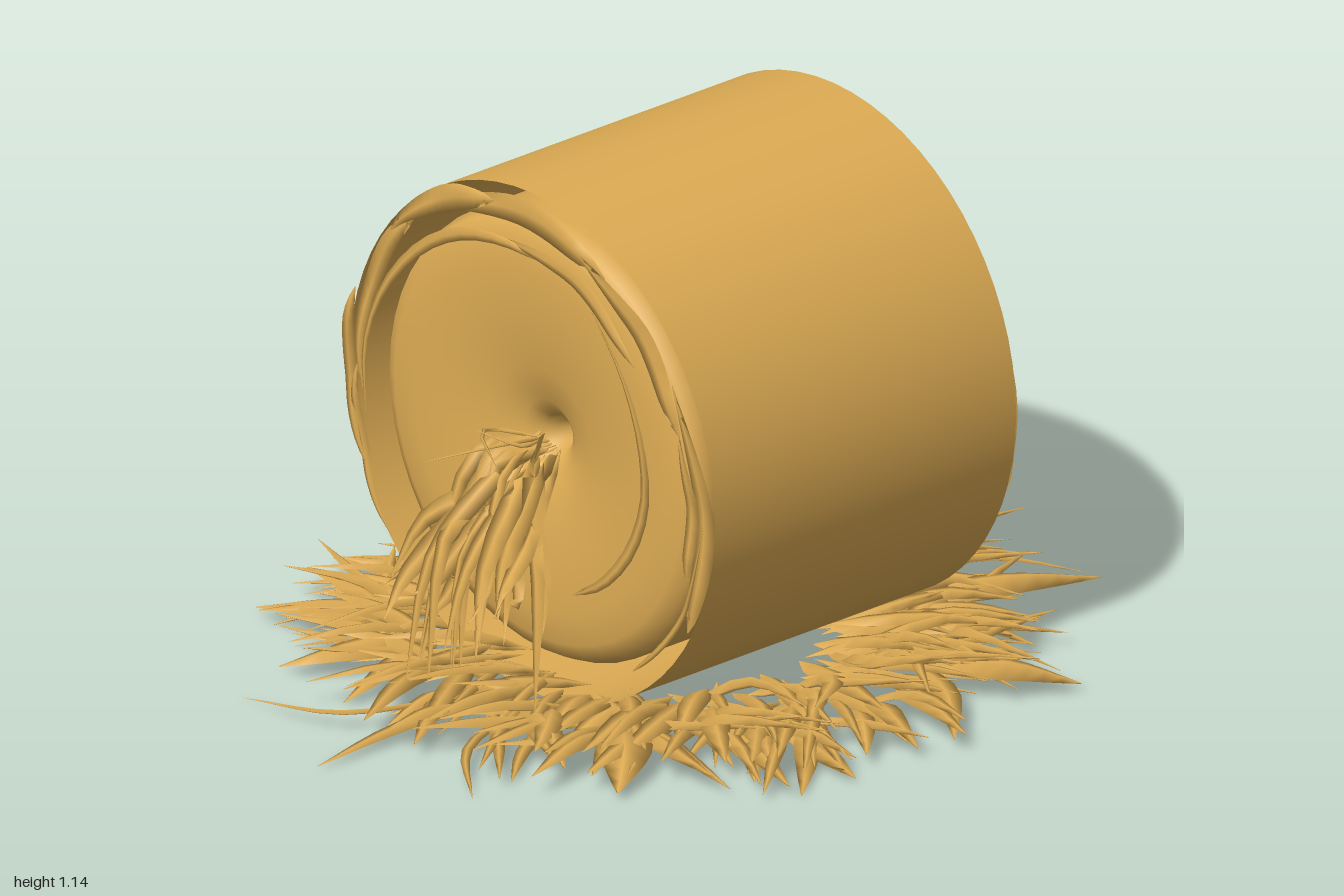
import * as THREE from 'three';
import { mergeGeometries } from 'three/addons/utils/BufferGeometryUtils.js';

const V = (x, y, z) => new THREE.Vector3(x, y, z);

// small seeded generator so every build is identical
let seed = 7;
const rnd = (a = 0, b = 1) => {
  seed = (seed * 16807) % 2147483647;
  return a + (b - a) * (seed / 2147483647);
};

// tapered straw: diamond cross-section swept along a curve, widest near its root
function blade(points, width, thick, ref, segs = 8) {
  const curve = new THREE.CatmullRomCurve3(points);
  const pos = [], idx = [];
  for (let i = 0; i <= segs; i++) {
    const t = i / segs;
    const p = curve.getPoint(t), tan = curve.getTangent(t);
    const side = V().crossVectors(ref, tan).normalize();
    const nrm = V().crossVectors(tan, side).normalize();
    const s = 0.5 * (0.04 + 0.96 * Math.sin(Math.PI * Math.pow(t, 0.7)));
    for (const [u, v] of [[1, 0], [0, 1], [-1, 0], [0, -1]]) {
      const q = p.clone().addScaledVector(side, u * width * s).addScaledVector(nrm, v * thick * s);
      pos.push(q.x, q.y, q.z);
    }
    if (i < segs) {
      for (let k = 0; k < 4; k++) {
        const a = i * 4 + k, b = i * 4 + (k + 1) % 4;
        idx.push(a, b, a + 4, b, b + 4, a + 4);
      }
    }
  }
  const g = new THREE.BufferGeometry();
  g.setAttribute('position', new THREE.Float32BufferAttribute(pos, 3));
  g.setIndex(idx);
  g.computeVertexNormals();
  return g;
}

export function createModel() {
  seed = 7;
  const group = new THREE.Group();
  const straw = new THREE.MeshStandardMaterial({ color: 0xdeac54, side: THREE.DoubleSide });
  straw.name = 'straw';
  const add = (geo, name) => {
    const m = new THREE.Mesh(geo, straw);
    m.name = name;
    group.add(m);
  };
  const cy = 0.583, zMid = -0.03, up = V(0, 1, 0), fwd = V(0, 0, 1);

  // open outer wrap
  const wrap = new THREE.CylinderGeometry(0.572, 0.572, 0.85, 64, 1, true);
  wrap.rotateX(Math.PI / 2).translate(0, cy, zMid);
  add(wrap, 'outerWrap');

  // inner roll: shallow domed ends that dip into a narrow centre hole
  const half = [[0.028, 0.3], [0.04, 0.345], [0.08, 0.375], [0.16, 0.397], [0.27, 0.412],
    [0.38, 0.416], [0.45, 0.408], [0.485, 0.39], [0.5, 0.36]];
  const profile = [...half.map(([r, z]) => new THREE.Vector2(r, -z)),
    ...half.map(([r, z]) => new THREE.Vector2(r, z)).reverse()];
  profile.push(profile[0].clone());
  const roll = new THREE.LatheGeometry(profile, 48);
  roll.rotateX(Math.PI / 2).translate(0, cy, zMid);
  add(roll, 'innerRoll');

  // loose straw lying around the foot, reaching in under the roll
  const litter = [];
  const count = 260;
  for (let i = 0; i < count; i++) {
    const a = (i + rnd(-0.5, 0.5)) / count * Math.PI * 2;
    const r0 = rnd(0.3, 0.58), r1 = Math.min(r0 + rnd(0.24, 0.42), rnd(0.74, 0.87));
    const b = a + rnd(-0.4, 0.4), y0 = rnd(0.015, 0.05), y1 = rnd(0.016, 0.08);
    const p0 = V(Math.cos(a) * r0, y0, Math.sin(a) * r0);
    const p1 = V(Math.cos(b) * r1, y1, Math.sin(b) * r1);
    const mid = p0.clone().lerp(p1, 0.5).add(V(rnd(-0.02, 0.02), rnd(0, 0.03), rnd(-0.02, 0.02)));
    litter.push(blade([p0, mid, p1], rnd(0.03, 0.075), rnd(0.012, 0.03), up, 6));
  }
  // shorter straw heaped against the foot of the roll
  for (let i = 0; i < 50; i++) {
    const s = i % 2 ? 1 : -1, z = rnd(-0.45, 0.4), x = rnd(0.3, 0.45) * s;
    litter.push(blade([V(x, 0.03, z), V(x + 0.1 * s, rnd(0.05, 0.09), z + rnd(-0.08, 0.08)),
      V(x + rnd(0.2, 0.3) * s, rnd(0.03, 0.1), z + rnd(-0.15, 0.15))], rnd(0.03, 0.07), 0.025, up, 6));
  }
  // the longest straws, front and back
  for (const s of [1, -1]) {
    litter.push(blade([V(0.02, 0.03, 0.45 * s), V(-0.01, 0.035, 0.75 * s), V(0, 0.02, s)], 0.05, 0.015, up));
    litter.push(blade([V(0.08, 0.03, 0.5 * s), V(0.18, 0.04, 0.74 * s), V(0.34, 0.02, 0.87 * s)], 0.025, 0.012, up));
  }
  litter.push(blade([V(-0.03, 0.03, 0.5), V(-0.12, 0.05, 0.82), V(-0.37, 0.02, 0.88)], 0.02, 0.012, up));
  // broad leaves: root x, z and tip x, z
  for (const [x0, z0, x1, z1] of [[-0.12, -0.5, -0.5, -0.69], [-0.06, -0.46, -0.38, -0.9],
    [-0.28, 0.42, -0.42, 0.73], [-0.4, 0.4, -0.68, 0.56], [-0.5, 0.22, -0.76, 0.27],
    [0.3, 0.42, 0.54, 0.64], [0.22, -0.45, 0.39, -0.86], [0.5, -0.25, 0.77, -0.46]]) {
    litter.push(blade([V(x0, 0.04, z0), V((x0 + x1) / 2 + 0.02, 0.055, (z0 + z1) / 2), V(x1, 0.03, z1)], 0.12, 0.04, up));
  }
  add(mergeGeometries(litter), 'groundStraw');

  // tufts spilling from the centre hole
  const tuft = (dir, z0, n, spread, reach, name) => {
    const parts = [];
    for (let i = 0; i < n; i++) {
      const x1 = rnd(-spread, spread), r = rnd(0.5, 1) * reach;
      const yEnd = rnd(0.06, 0.32);
      parts.push(blade([
        V(rnd(-0.04, 0.04), cy + rnd(-0.06, 0.01), (z0 - 0.06) * dir),
        V(x1 * 0.5 + rnd(-0.04, 0.04), rnd(0.44, 0.56), (z0 + r * 0.35) * dir),
        V(x1 * 0.85 + rnd(-0.03, 0.03), rnd(0.28, 0.4), (z0 + r * 0.75) * dir),
        V(x1, yEnd, (z0 + r) * dir),
      ], rnd(0.025, 0.07), rnd(0.01, 0.025), fwd, 9));
    }
    // thin stray wisps
    for (let i = 0; i < 3; i++) {
      parts.push(blade([
        V(0, cy, (z0 - 0.05) * dir),
        V(rnd(-0.1, 0.05), cy + 0.01, (z0 + 0.03) * dir),
        V(rnd(-0.2, 0.1), cy + rnd(-0.06, 0.04), (z0 + 0.08 + 0.05 * i) * dir),
      ], 0.012, 0.01, up, 6));
    }
    add(mergeGeometries(parts), name);
  };
  tuft(1, 0.41, 26, 0.26, 0.27, 'frontTuft');
  tuft(-1, 0.46, 13, 0.12, 0.31, 'backTuft');

  // strands curling around the rims: [from, to (degrees), radius, radius, width, z]
  const strands = (list, name) => {
    add(mergeGeometries(list.map(([a0, a1, r0, r1, w, z]) => {
      const pts = [];
      for (let i = 0; i <= 6; i++) {
        const a = THREE.MathUtils.degToRad(a0 + (a1 - a0) * i / 6);
        const r = r0 + (r1 - r0) * i / 6;
        pts.push(V(Math.cos(a) * r, cy + Math.sin(a) * r, z + 0.006 * Math.sin(i * 1.7)));
      }
      return blade(pts, w, 0.008, fwd, 16);
    })), name);
  };
  strands([
    [62, 125, 0.52, 0.53, 0.07, 0.41], [20, 72, 0.52, 0.52, 0.06, 0.42],
    [100, 140, 0.54, 0.55, 0.06, 0.42], [-28, 32, 0.57, 0.53, 0.06, 0.41],
    [-15, 22, 0.54, 0.53, 0.04, 0.43], [130, 185, 0.54, 0.52, 0.05, 0.41],
    [160, 205, 0.56, 0.53, 0.04, 0.42], [178, 220, 0.52, 0.54, 0.03, 0.42],
    [40, 100, 0.46, 0.46, 0.04, 0.425], [80, 190, 0.45, 0.5, 0.03, 0.425],
    [-60, 60, 0.33, 0.44, 0.03, 0.43], [-50, 0, 0.53, 0.56, 0.015, 0.42],
  ], 'frontRimStrands');
  strands([
    [100, 170, 0.55, 0.56, 0.025, -0.455], [20, 75, 0.53, 0.47, 0.02, -0.465],
    [-20, 35, 0.56, 0.5, 0.025, -0.475], [185, 225, 0.54, 0.55, 0.02, -0.455],
  ], 'backRimStrands');

  return group;
}
